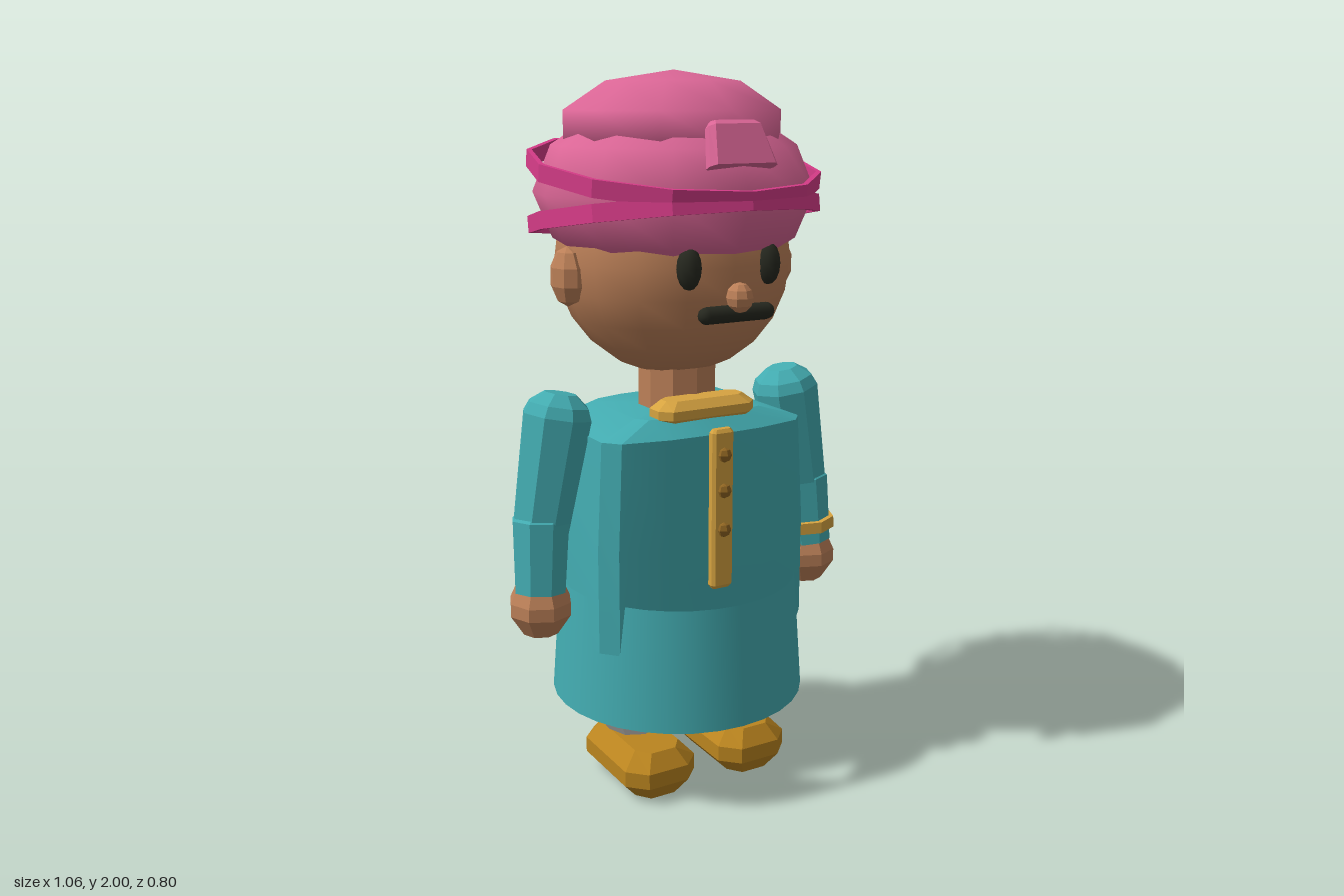
import * as THREE from 'three';
import { toCreasedNormals } from 'three/addons/utils/BufferGeometryUtils.js';

const mat = (name, color, extra = {}) => {
  const m = new THREE.MeshStandardMaterial({ color, ...extra });
  m.name = name;
  return m;
};

// Revolved profile of [radius, y] points, bottom to top.
function lathe(points, sides, crease = 0.01) {
  const g = new THREE.LatheGeometry(points.map(([r, y]) => new THREE.Vector2(r, y)), sides);
  return toCreasedNormals(g, crease);
}

// Ellipsoid with smooth or faceted shading.
function ellipsoid(rx, ry, rz, w, h, flat = false) {
  const g = new THREE.SphereGeometry(1, w, h).rotateY(Math.PI / 2).scale(rx, ry, rz);
  return flat ? toCreasedNormals(g, 0.01) : g;
}

// Mirrors half an outline of [x, z] points, given front to back on the +x side.
const outline = (half) => [
  ...half,
  ...half.filter(([x]) => x > 0).reverse().map(([x, z]) => [-x, z]),
];
const cutRect = (w, d, c) => outline([[w - c, d], [w, d - c], [w, c - d], [w - c, -d]]);

// Closed loft of one outline through rings of [y, scaleX, scaleZ].
function loft(shape, rings, crease = 0.01) {
  const n = shape.length, pos = [], idx = [];
  for (const [y, sx, sz] of rings) for (const [x, z] of shape) pos.push(x * sx, y, z * sz);
  for (let i = 0; i < rings.length - 1; i++) {
    for (let k = 0; k < n; k++) {
      const a = i * n + k, b = i * n + (k + 1) % n;
      idx.push(a, b, a + n, b, b + n, a + n);
    }
  }
  const last = (rings.length - 1) * n, low = rings.length * n;
  pos.push(0, rings[0][0], 0, 0, rings[rings.length - 1][0], 0);
  for (let k = 0; k < n; k++) {
    const j = (k + 1) % n;
    idx.push(low, j, k, low + 1, last + k, last + j);
  }
  const g = new THREE.BufferGeometry();
  g.setAttribute('position', new THREE.Float32BufferAttribute(pos, 3));
  g.setIndex(idx);
  return toCreasedNormals(g, crease);
}

export function createModel() {
  const skin = mat('skin', 0xbc8058);
  const teal = mat('teal cloth', 0x43acb1);
  const tealOpen = mat('teal skirt cloth', 0x43acb1, { side: THREE.DoubleSide });
  const pink = mat('pink turban', 0xdb6696);
  const magenta = mat('magenta band', 0xd63c88);
  const gold = mat('gold trim', 0xd6a340);
  const bronze = mat('bronze button', 0x8f6522);
  const ochre = mat('ochre shoe', 0xba841f);
  const white = mat('white trousers', 0xd6d5d2);
  const black = mat('black', 0x26281f);

  const model = new THREE.Group();
  model.name = 'turbanedFigure';
  const add = (name, geometry, material, x = 0, y = 0, z = 0) => {
    const m = new THREE.Mesh(geometry, material);
    m.name = name;
    m.position.set(x, y, z);
    model.add(m);
    return m;
  };

  // Head and face
  add('head', ellipsoid(0.33, 0.325, 0.315, 16, 12), skin, 0, 1.505, 0);
  add('neck', lathe([[0.11, 1.04], [0.11, 1.25]], 10), skin, 0, 0, 0.02);
  add('nose', ellipsoid(0.036, 0.04, 0.036, 8, 6, true), skin, 0, 1.432, 0.34);
  add('moustache', new THREE.CapsuleGeometry(0.023, 0.18, 4, 8).rotateZ(Math.PI / 2), black, 0, 1.39, 0.325);

  // Turban with two crossing bands
  add('turbanBase', ellipsoid(0.385, 0.25, 0.385, 12, 6), pink, 0, 1.68, 0);
  add('turbanTop', ellipsoid(0.315, 0.15, 0.315, 10, 5), pink, 0, 1.85, 0);
  const ring = [[0.386, -0.023], [0.4, -0.023], [0.4, 0.023], [0.386, 0.023], [0.386, -0.023]];
  for (const s of [-1, 1]) {
    const band = add(s > 0 ? 'upperBand' : 'lowerBand', lathe(ring, 12), magenta, 0, 1.68 + s * 0.06, 0);
    band.rotation.x = s * 0.15;
  }
  const knot = add('turbanKnot',
    loft(cutRect(0.1, 0.025, 0.015), [[-0.06, 1, 1], [0.045, 0.78, 1], [0.06, 0.66, 0.5]]),
    pink, 0, 1.815, 0.32);
  knot.rotation.x = -0.42;

  // Tunic body and open skirt
  const body = outline([
    [0, 0.228], [0.15, 0.222], [0.29, 0.195], [0.33, 0.15],
    [0.33, -0.15], [0.29, -0.195], [0.15, -0.222], [0, -0.228],
  ]);
  add('tunicBody', loft(body, [[0.46, 1, 1], [0.75, 1, 1], [1.05, 0.95, 0.97], [1.095, 0.6, 0.78]], 0.4),
    teal, 0, 0, 0.02);
  add('tunicSkirt', new THREE.CylinderGeometry(0.34, 0.365, 0.345, 32, 1, true), tealOpen, 0, 0.4275, 0.02);

  // Collar, placket and buttons
  add('collar',
    loft(cutRect(0.15, 0.055, 0.03), [[-0.035, 0.8, 0.6], [-0.012, 1, 1], [0.012, 1, 1], [0.035, 0.8, 0.6]]),
    gold, 0, 1.105, 0.155);
  add('placket',
    loft(cutRect(0.033, 0.016, 0.008), [[0.62, 0.8, 0.6], [0.63, 1, 1], [1.06, 1, 1], [1.07, 0.8, 0.6]]),
    gold, 0, 0, 0.257);
  for (const y of [0.79, 0.9, 1.0]) {
    add('button', ellipsoid(0.021, 0.021, 0.017, 6, 4, true), bronze, 0, y, 0.275);
  }

  // Places a revolved limb with its base at `from`, pointing to `to`.
  const limb = (name, profile, material, from, to) => {
    const a = new THREE.Vector3(...from), d = new THREE.Vector3(...to).sub(a);
    const len = d.length();
    const g = lathe(profile.map(([r, t]) => [r, t * len]), 8);
    const m = add(name, g, material, ...from);
    m.quaternion.setFromUnitVectors(new THREE.Vector3(0, 1, 0), d.normalize());
    return m;
  };

  for (const s of [1, -1]) {
    const side = s > 0 ? 'left' : 'right';
    add(side + 'Eye', ellipsoid(0.033, 0.056, 0.035, 10, 8), black, s * 0.12, 1.508, 0.288);
    add(side + 'Ear', ellipsoid(0.045, 0.08, 0.062, 8, 5, true), skin, s * 0.328, 1.47, 0.01);

    // Arms
    limb(side + 'UpperSleeve', [[0, 0], [0.08, 0], [0.098, 0.84], [0.085, 0.92], [0.045, 1], [0, 1]], teal,
      [s * 0.43, 0.78, 0.02], [s * 0.358, 1.16, 0.015]);
    limb(side + 'LowerSleeve', [[0, 0], [0.073, 0], [0.082, 0.9], [0.06, 1], [0, 1]], teal,
      [s * 0.443, 0.62, 0.04], [s * 0.427, 0.84, 0.02]);
    limb(side + 'Hand', [[0, 0], [0.05, 0], [0.088, 0.4], [0.088, 0.65], [0.065, 1], [0, 1]], skin,
      [s * 0.443, 0.5, 0.037], [s * 0.441, 0.645, 0.037]);

    // Legs and shoes
    add(side + 'Leg', lathe([[0, 0.13], [0.07, 0.135], [0.103, 0.18], [0.103, 0.5], [0, 0.5]], 8).scale(1, 1, 1.1),
      white, s * 0.15, 0, 0.015);
    add(side + 'Shoe',
      loft(cutRect(0.112, 0.173, 0.05), [[0, 0.6, 0.8], [0.05, 1, 1], [0.095, 1, 1], [0.142, 0.62, 0.82]]),
      ochre, s * 0.153, 0, 0.068);
  }

  // Bracelet on the left wrist
  const cuff = [[0.07, -0.017], [0.088, -0.017], [0.088, 0.017], [0.07, 0.017], [0.07, -0.017]];
  add('bracelet', lathe(cuff, 8), gold, 0.438, 0.68, 0.038).rotation.z = 0.06;

  return model;
}
